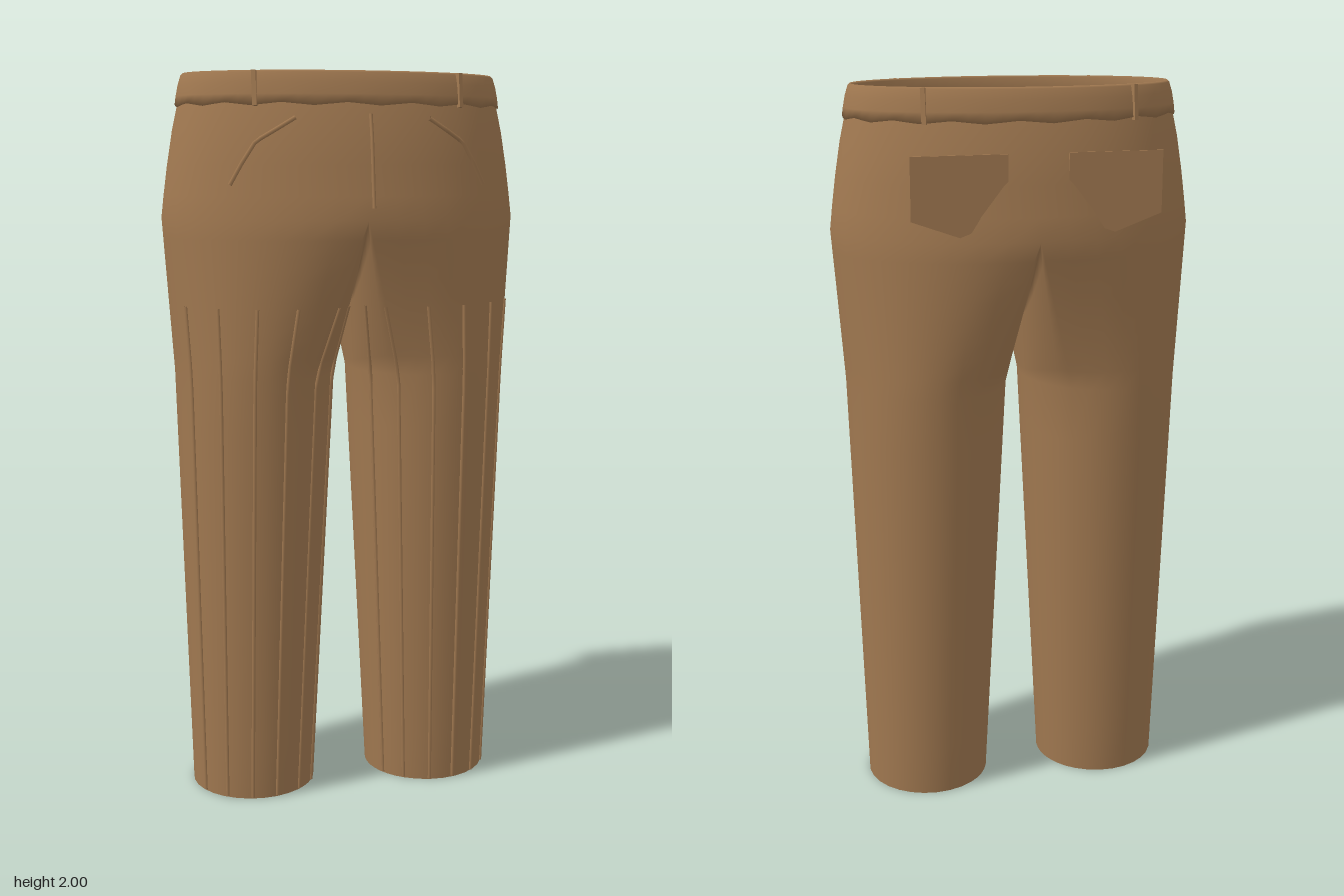
import * as THREE from 'three';
import { mergeGeometries, mergeVertices } from 'three/addons/utils/BufferGeometryUtils.js';

const V = (x, y, z) => new THREE.Vector3(x, y, z);
const RAD = Math.PI / 180;
const { lerp } = THREE.MathUtils;

// Hip cross-sections: height, half width, half depth
const HIPS = [[1.62, 0.495, 0.305], [1.68, 0.488, 0.295], [1.76, 0.477, 0.286], [1.85, 0.462, 0.273], [1.935, 0.443, 0.25]];
const SPLIT = 125; // leg angle that meets the centre seam
const KNIT = 1.2; // height where the leg becomes a plain tapered tube

function hipSize(y) {
  let i = 0;
  while (i < HIPS.length - 2 && y > HIPS[i + 1][0]) i++;
  const [a, b] = [HIPS[i], HIPS[i + 1]];
  const t = (y - a[0]) / (b[0] - a[0]);
  return [lerp(a[1], b[1], t), lerp(a[2], b[2], t)];
}

function hipPoint(deg, y) {
  const [rx, rz] = hipSize(y);
  return V(rx * Math.cos(deg * RAD), y, rz * Math.sin(deg * RAD));
}

// Top edge of a leg: half the hip ellipse outside, the crotch saddle inside
function legTop(deg) {
  if (Math.abs(deg) <= SPLIT) return hipPoint(deg * 90 / SPLIT, 1.62);
  const around = deg < 0 ? deg + 360 : deg;
  const s = Math.sin((180 - around) / (180 - SPLIT) * Math.PI / 2);
  return V(0, 1.38 + 0.24 * s * s, 0.305 * s);
}

function tubePoint(deg, y) {
  const t = y / KNIT;
  const inner = lerp(0.085, 0.025, t), outer = lerp(0.435, 0.465, t);
  return V((inner + outer) / 2 + (outer - inner) / 2 * Math.cos(deg * RAD), y, lerp(0.175, 0.245, t) * Math.sin(deg * RAD));
}

// v runs 0..1 up the tube and 1..2 from the tube into the hips
function legPoint(deg, v) {
  return v <= 1 ? tubePoint(deg, v * KNIT) : tubePoint(deg, KNIT).lerp(legTop(deg), v - 1);
}

// Surface through a grid of rows (bottom to top)
function skin(rows) {
  const n = rows[0].length, index = [];
  for (let r = 0; r < rows.length - 1; r++) {
    for (let c = 0; c < n - 1; c++) {
      const a = r * n + c, b = a + n;
      index.push(a, b, a + 1, b, b + 1, a + 1);
    }
  }
  const g = new THREE.BufferGeometry().setFromPoints(rows.flat());
  g.setIndex(index);
  return g;
}

function weld(geometries) {
  const g = mergeVertices(mergeGeometries(geometries), 0.0005);
  g.computeVertexNormals();
  return g;
}

const mirrorX = (p) => V(-p.x, p.y, p.z);

export function createModel() {
  const model = new THREE.Group();
  model.name = 'trousers';
  const cloth = new THREE.MeshStandardMaterial({ color: 0xa07850, side: THREE.DoubleSide });
  cloth.name = 'brown cloth';
  const add = (name, geometry) => {
    const mesh = new THREE.Mesh(geometry, cloth);
    mesh.name = name;
    model.add(mesh);
    return mesh;
  };

  // Hips and both legs as one smooth cloth
  const angles = [];
  for (let i = 0; i <= 20; i++) angles.push(lerp(-SPLIT, SPLIT, i / 20));
  for (let i = 1; i <= 12; i++) angles.push(lerp(SPLIT, 360 - SPLIT, i / 12));
  const legRows = [];
  for (let i = 0; i <= 16; i++) legRows.push(angles.map((a) => legPoint(a, i / 8)));
  const hipRows = HIPS.map(([y]) => Array.from({ length: 41 }, (_, i) => hipPoint(-90 + i * 9, y)));
  add('hipsAndLegs', weld([
    skin(hipRows),
    skin(legRows),
    skin(legRows.map((row) => row.map(mirrorX).reverse())),
  ]));

  // Waistband: a closed band with a slightly wavy lower edge
  const band = [[0.425, 1.93, 0], [0.452, 1.915, 1], [0.449, 1.94, 0], [0.443, 1.97, 0], [0.435, 1.995, 0],
    [0.43, 2, 0], [0.424, 1.995, 0], [0.422, 1.965, 0], [0.425, 1.93, 0]];
  const bandRows = band.map(([r, y, wave]) => Array.from({ length: 65 }, (_, i) => {
    const a = i / 64 * Math.PI * 2;
    return V(r * Math.cos(a), y + wave * 0.004 * Math.sin(a * 16), (r - 0.192) * Math.sin(a));
  }));
  add('waistband', weld([skin(bandRows)]));

  // Raised seams following the cloth
  const seam = (name, points, radius = 0.005) => {
    const path = new THREE.CurvePath();
    for (let i = 1; i < points.length; i++) path.add(new THREE.LineCurve3(points[i - 1], points[i]));
    add(name, new THREE.TubeGeometry(path, (points.length - 1) * 3, radius, 6));
  };
  const onHip = (x, y) => {
    const [rx, rz] = hipSize(y);
    return V(x, y, rz * Math.sqrt(1 - (x / rx) ** 2) + 0.002);
  };
  seam('flySeam', [1.89, 1.83, 1.77, 1.71, 1.65].map((y) => onHip(0.015, y)));

  for (const side of [1, -1]) {
    const word = side > 0 ? 'left' : 'right';
    const place = (p) => (side > 0 ? p : mirrorX(p));

    // Slanted front pocket opening
    const slant = [[0.18, 1.88], [0.23, 1.85], [0.28, 1.82], [0.315, 1.765], [0.345, 1.71]];
    seam(word + 'FrontPocket', slant.map(([x, y]) => place(onHip(x, y))), 0.006);

    // Pleats down the front of the leg
    for (const deg of [28, 54, 78, 101, 126, 149]) {
      const topV = 1 + (1.39 - KNIT) / (legTop(deg).y - KNIT);
      const line = [0.003, 0.25, 0.5, 0.75, 1, (1 + topV) / 2, topV].map((v) => place(legPoint(deg, v)));
      seam(word + 'Pleat', line, 0.005);
    }

    // Flat five-sided back pocket
    const patch = new THREE.Shape([[0.08, 1.84], [0.33, 1.84], [0.33, 1.68], [0.205, 1.635], [0.08, 1.68]]
      .map(([x, y]) => new THREE.Vector2(side * x, y)));
    const pocket = add(word + 'BackPocket', new THREE.ExtrudeGeometry(patch, { depth: 0.005, bevelEnabled: false }));
    pocket.position.z = -0.28;

    // Belt loops, front and back
    for (const end of [1, -1]) {
      const loop = add(word + 'BeltLoop', new THREE.BoxGeometry(0.012, 0.09, 0.014));
      loop.position.set(side * 0.277, 1.954, end * 0.2);
      loop.rotation.set(-end * 0.14, side * end * 0.38, 0);
    }
  }
  return model;
}
